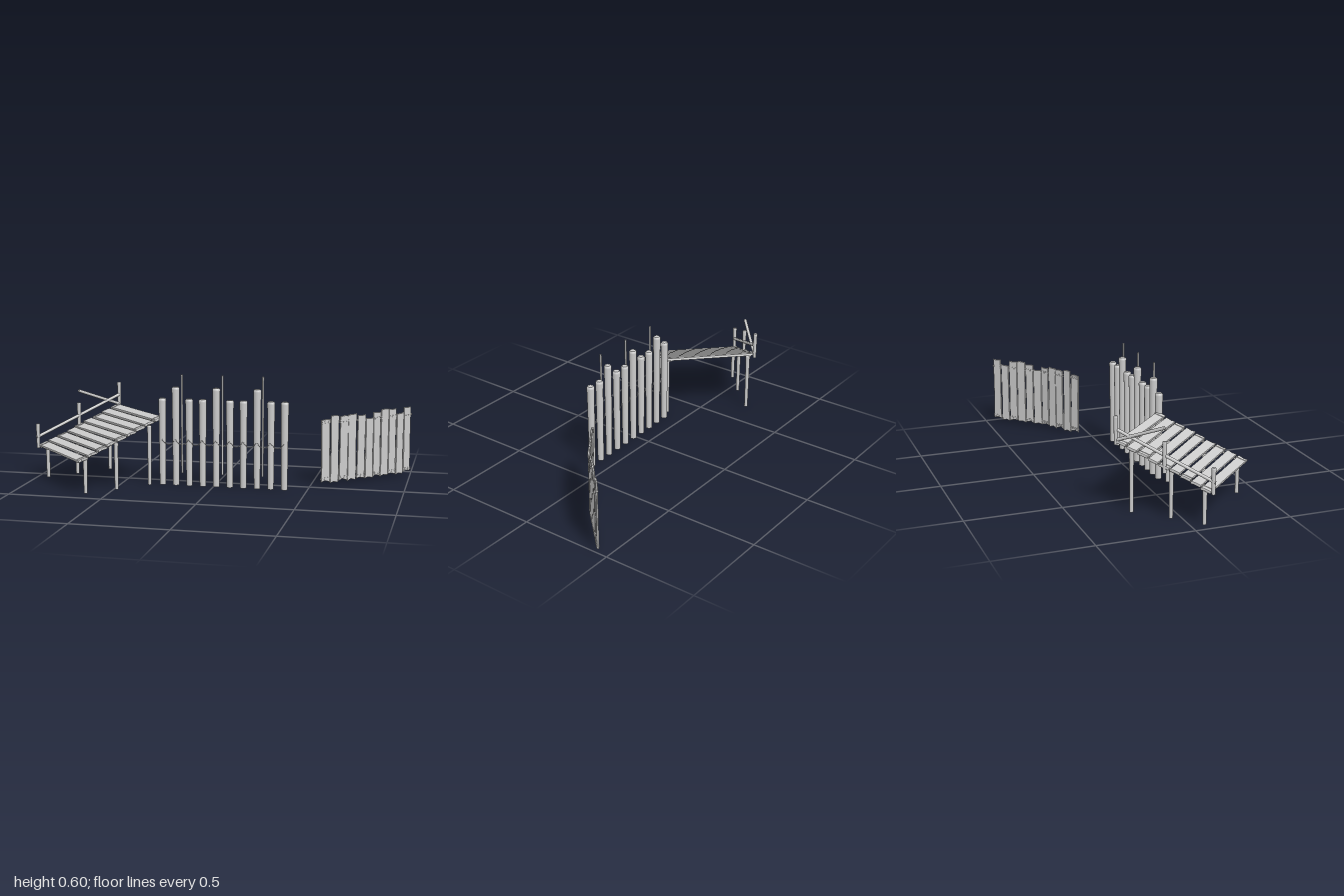
import * as THREE from 'three';

const wood = new THREE.MeshStandardMaterial({ color: 0xcccccc });
wood.name = 'pale grey wood';

let seed = 7;
const rand = (a, b) => {
  seed = (seed * 16807) % 2147483647;
  return a + (b - a) * (seed / 2147483647);
};

function add(parent, name, geometry) {
  const mesh = new THREE.Mesh(geometry, wood);
  mesh.name = name;
  parent.add(mesh);
  return mesh;
}

// Round upright that widens to the top and ends in a small bevel
function post(parent, name, x, z, y0, y1, r0, r1) {
  const b = r1 * 0.35, h = y1 - y0;
  const pts = [[0, 0], [r0, 0], [r0, 0], [r1 * 0.93, h * 0.85], [r1, h - b * 2], [r1, h - b], [r1 * 0.75, h], [r1 * 0.75, h], [0, h]]
    .map(([a, c]) => new THREE.Vector2(a, c));
  const mesh = add(parent, name, new THREE.LatheGeometry(pts, 14));
  mesh.position.set(x, y0, z);
}

// Round bar between two points
function bar(parent, name, a, b, r) {
  const p = new THREE.Vector3(...a), q = new THREE.Vector3(...b);
  const d = q.clone().sub(p);
  const mesh = add(parent, name, new THREE.CylinderGeometry(r, r, d.length(), 10));
  mesh.position.copy(p).addScaledVector(d, 0.5);
  mesh.quaternion.setFromUnitVectors(new THREE.Vector3(0, 1, 0), d.normalize());
}

// Rough board standing on its end, with uneven cut ends
function board(w, h, t) {
  const s = new THREE.Shape();
  const j = () => rand(-0.004, 0.004);
  s.moveTo(-w / 2, j());
  s.lineTo(-w * 0.1, rand(0, 0.01));
  s.lineTo(w / 2, j());
  s.lineTo(w * 0.47, h * 0.5);
  s.lineTo(w / 2, h + j());
  s.lineTo(w * 0.1, h + j());
  s.lineTo(-w / 2, h + j());
  s.lineTo(-w * 0.48, h * 0.45);
  const g = new THREE.ExtrudeGeometry(s, {
    depth: t * 0.6, bevelEnabled: true, bevelThickness: t * 0.2, bevelSize: 0.0015, bevelOffset: -0.0015, bevelSegments: 1,
  });
  g.translate(0, 0, -t * 0.3);
  return g;
}

function buildPlatform() {
  const g = new THREE.Group();
  g.name = 'ramp platform';

  // Sloping deck, turned 45 degrees
  const turn = new THREE.Group();
  turn.name = 'deck turn';
  turn.position.set(-0.635, 0.268, 0.085);
  turn.rotation.y = -Math.PI / 4;
  g.add(turn);
  const deck = new THREE.Group();
  deck.name = 'deck';
  deck.rotation.x = 0.365;
  turn.add(deck);
  const n = 9, pitch = 0.0598;
  for (let i = 0; i < n; i++) {
    const len = i === 0 || i === n - 1 ? 0.512 : rand(0.485, 0.515);
    const geo = board(rand(0.051, 0.055), len, 0.013);
    geo.translate(0, -len / 2, 0);
    geo.rotateZ(Math.PI / 2);
    geo.rotateX(-Math.PI / 2);
    const p = add(deck, 'deckPlank', geo);
    p.position.set(rand(-0.003, 0.006), 0, (i - (n - 1) / 2) * pitch);
    p.rotation.set(-0.07, rand(-0.015, 0.015), 0);
  }
  // Slim stringers and the lashings over them
  for (const x of [-0.225, 0.225]) {
    bar(deck, 'stringer', [x, -0.009, -0.255], [x, -0.009, 0.255], 0.005);
    for (let i = 0; i < n; i += 2) {
      const tie = add(deck, 'deckLashing', new THREE.BoxGeometry(0.006, 0.017, 0.057));
      tie.position.set(x, 0, (i - (n - 1) / 2) * pitch);
      tie.rotation.x = -0.07;
    }
  }

  // Legs in two rows of three
  const legs = [
    [-0.94, 0.07, 0.182], [-0.812, -0.05, 0.247], [-0.67, -0.2, 0.322],
    [-0.615, 0.395, 0.182], [-0.487, 0.267, 0.25], [-0.345, 0.125, 0.322],
  ];
  for (const [x, z, h] of legs) post(g, 'platformLeg', x, z, 0, h, 0.0095, 0.012);

  // Railing posts, long rail and fallen rail
  post(g, 'railPost', -0.986, 0.093, 0.165, 0.3, 0.009, 0.0115);
  post(g, 'railPost', -0.81, -0.085, 0.235, 0.395, 0.009, 0.0115);
  post(g, 'railPost', -0.632, -0.267, 0.345, 0.49, 0.009, 0.0115);
  bar(g, 'longRail', [-0.992, 0.226, 0.1], [-0.632, 0.42, -0.262], 0.0085);
  bar(g, 'fallenRail', [-0.81, 0.462, -0.086], [-0.628, 0.365, -0.268], 0.0085);
  return g;
}

function buildPalisade() {
  const g = new THREE.Group();
  g.name = 'palisade';
  const n = 10, x0 = -0.279, step = 0.0732;
  const zAt = (x) => 0.1 - 0.018 * (x - x0);
  for (let i = 0; i < n; i++) {
    const x = x0 + i * step;
    post(g, 'palisadePost', x, zAt(x), 0, i % 3 === 1 ? 0.53 : 0.468, 0.0165, 0.021);
  }
  // Thin stakes between the posts
  for (const x of [-0.167, 0.052, 0.267]) {
    bar(g, 'thinStake', [x, 0.07, zAt(x) + 0.019], [x, 0.6, zAt(x) + 0.019], 0.0055);
  }
  // Rope hanging in a swag from post to post
  const pts = [];
  for (let i = 0; i < n - 1; i++) {
    for (let k = 0; k < 6; k++) {
      const t = k / 6, x = x0 + (i + t) * step;
      const sag = Math.sin(Math.PI * t);
      pts.push(new THREE.Vector3(x, 0.25 - 0.03 * sag, zAt(x) + 0.02 - 0.008 * sag));
    }
  }
  const end = x0 + (n - 1) * step;
  pts.push(new THREE.Vector3(end, 0.25, zAt(end) + 0.02));
  add(g, 'hangingRope', new THREE.TubeGeometry(new THREE.CatmullRomCurve3(pts), 110, 0.0018, 6));
  return g;
}

function buildFence() {
  const g = new THREE.Group();
  g.name = 'plank fence';
  const runs = [
    { a: [0.552, -0.062], b: [0.768, -0.215], h: [0.34, 0.365, 0.352, 0.365, 0.352] },
    { a: [0.768, -0.215], b: [0.996, -0.447], h: [0.335, 0.355, 0.375, 0.365, 0.342, 0.362] },
  ];
  let count = 0;
  for (const { a, b, h } of runs) {
    const dx = b[0] - a[0], dz = b[1] - a[1];
    const len = Math.hypot(dx, dz), w = len / h.length;
    const run = new THREE.Group();
    run.name = 'fenceRun';
    run.position.set(a[0], 0, a[1]);
    run.rotation.y = Math.atan2(-dz, dx);
    g.add(run);
    h.forEach((height, i) => {
      const base = count % 2 ? 0.01 : 0.016;
      const x = (i + 0.5) * w;
      const p = add(run, 'fencePlank', board(w * rand(0.9, 0.98), height, 0.01));
      p.position.set(x, base, rand(-0.001, 0.001));
      p.rotation.z = rand(-0.012, 0.012);
      // Rope lashings near both ends of every other plank
      if (count % 2 === 0) {
        for (const y of [0.03, 0.038, 0.335, 0.343]) {
          const tie = add(run, 'fenceLashing', new THREE.BoxGeometry(w * 1.01, 0.004, 0.0145));
          tie.position.set(x, y, 0);
          tie.rotation.z = rand(-0.08, 0.08);
        }
      }
      count++;
    });
  }
  return g;
}

export function createModel() {
  const model = new THREE.Group();
  model.name = 'wooden barricades';
  model.add(buildPlatform(), buildPalisade(), buildFence());
  return model;
}
